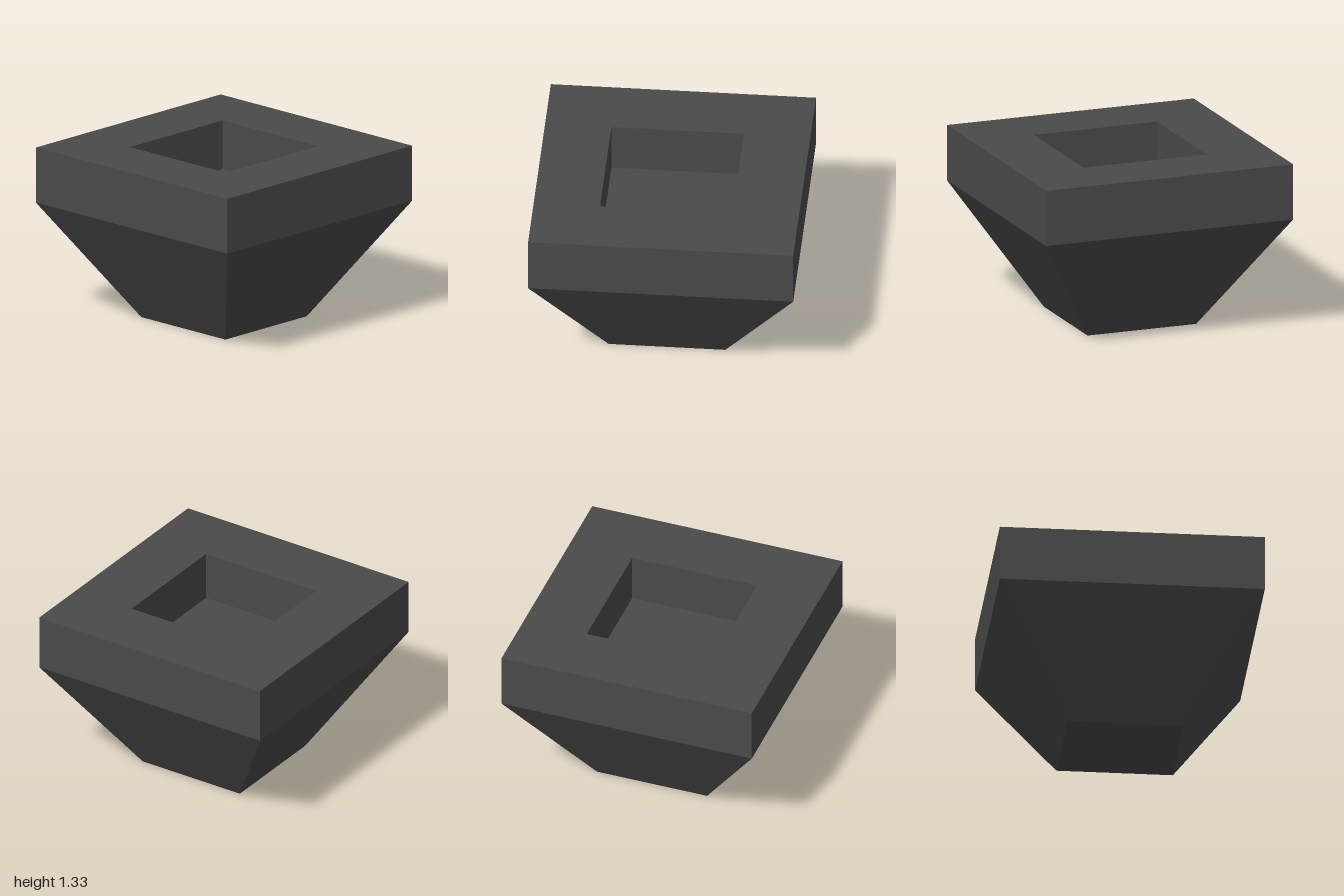
import * as THREE from 'three';

const darkGrey = new THREE.MeshStandardMaterial({ color: 0x4a4a4a });
darkGrey.name = 'darkGrey';

// Square part from a profile of [half width, height] points, running bottom to top on the outside
function squarePart(name, profile) {
  const points = profile.map(([half, y]) => new THREE.Vector2(half * Math.SQRT2, y));
  const geometry = new THREE.LatheGeometry(points, 4, Math.PI / 4).toNonIndexed();
  geometry.computeVertexNormals(); // flat faces
  const mesh = new THREE.Mesh(geometry, darkGrey);
  mesh.name = name;
  return mesh;
}

export function createModel() {
  const group = new THREE.Group();
  group.name = 'squareHopper';

  const baseHalf = 0.44, rimHalf = 1, openingHalf = 0.5;
  const shoulderY = 0.9, topY = 1.33, floorY = 0.95;

  group.add(
    // Tapered lower body with its closed underside
    squarePart('taperedBody', [[0, 0], [baseHalf, 0], [rimHalf, shoulderY]]),
    // Upright band and flat top around the opening
    squarePart('rim', [[rimHalf, shoulderY], [rimHalf, topY], [openingHalf, topY]]),
    // Straight-walled recess and its flat floor
    squarePart('recess', [[openingHalf, topY], [openingHalf, floorY], [0, floorY]])
  );
  return group;
}
